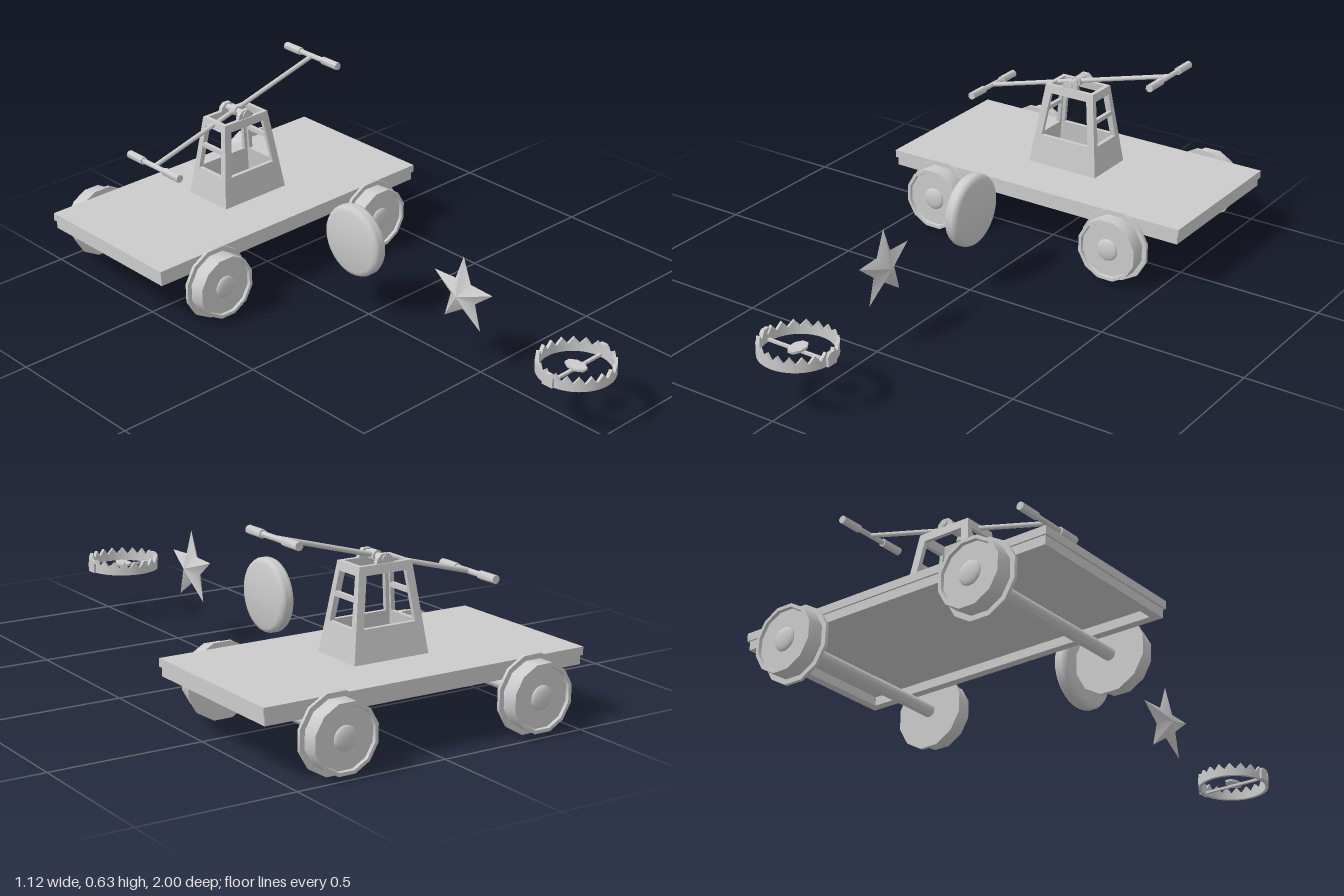
import * as THREE from 'three';
import { toCreasedNormals } from 'three/addons/utils/BufferGeometryUtils.js';

const mat = new THREE.MeshStandardMaterial({ color: 0xcccccc });
const CZ = -0.643; // cart centre in z

function add(parent, name, geo, x = 0, y = 0, z = 0) {
  const m = new THREE.Mesh(geo, mat);
  m.name = name;
  m.position.set(x, y, z);
  parent.add(m);
  return m;
}
const box = (w, h, d) => new THREE.BoxGeometry(w, h, d);
const rodZ = (r, len, sides = 12) => toCreasedNormals(new THREE.CylinderGeometry(r, r, len, sides).rotateX(Math.PI / 2), 0.9);
const lathe = (pts, sides, start = 0) => toCreasedNormals(
  new THREE.LatheGeometry(pts.map(p => new THREE.Vector2(p[0], p[1])), sides, start), 0.65);

// Leaning tower wall with a window; it faces +z and its outer base edge sits at z = depth
function towerWall(base, top, winBase, winTop, depth, topDepth) {
  const H = 0.28, t = 0.014;
  const s = new THREE.Shape([[-base, 0], [base, 0], [top, H], [-top, H]].map(p => new THREE.Vector2(...p)));
  s.holes.push(new THREE.Path([[-winBase, 0.1], [-winTop, 0.252], [winTop, 0.252], [winBase, 0.1]].map(p => new THREE.Vector2(...p))));
  const g = new THREE.ExtrudeGeometry(s, { depth: t, bevelEnabled: false });
  const p = g.attributes.position;
  for (let i = 0; i < p.count; i++) {
    p.setZ(i, p.getZ(i) - t + depth + (topDepth - depth) * p.getY(i) / H);
  }
  g.computeVertexNormals();
  return g;
}

function cart() {
  const g = new THREE.Group();
  g.name = 'handcar';
  g.position.set(-0.002, 0, CZ);

  // Deck on a hollow rail frame
  add(g, 'deck', box(1.125, 0.026, 0.567), 0, 0.214, 0);
  for (const s of [-1, 1]) {
    add(g, 'sideRail', box(1.112, 0.03, 0.028), 0, 0.187, s * 0.264);
    add(g, 'endRail', box(0.028, 0.03, 0.5), s * 0.542, 0.187, 0);
  }

  // Flanged twelve-sided wheels with recessed faces and domed hubs
  const R = 0.12 / Math.cos(Math.PI / 12);
  const wheelGeo = lathe([[0, 0], [R, 0], [R, 0.011], [0.108, 0.011], [0.108, 0.064], [0.097, 0.064],
    [0.095, 0.054], [0, 0.054]], 12, Math.PI / 12).rotateX(Math.PI / 2);
  const hubGeo = new THREE.SphereGeometry(0.038, 16, 10).scale(1, 1, 0.3);
  for (const x of [-0.353, 0.339]) {
    add(g, 'axle', rodZ(0.021, 0.6), x, 0.12, 0);
    for (const s of [-1, 1]) {
      const w = new THREE.Group();
      w.name = 'wheel';
      w.position.set(x, 0.12, s * 0.293);
      if (s < 0) w.rotation.y = Math.PI;
      add(w, 'wheelBody', wheelGeo);
      add(w, 'hub', hubGeo, 0, 0, 0.054);
      g.add(w);
    }
  }

  // Tapered open tower
  const tower = new THREE.Group();
  tower.name = 'tower';
  tower.position.y = 0.227;
  const wide = towerWall(0.132, 0.093, 0.092, 0.07, 0.093, 0.056);
  const narrow = towerWall(0.093, 0.056, 0.056, 0.04, 0.132, 0.093);
  for (let i = 0; i < 4; i++) {
    add(tower, i % 2 ? 'towerSide' : 'towerFace', i % 2 ? narrow : wide).rotation.y = i * Math.PI / 2;
  }
  for (const s of [-1, 1]) add(tower, 'sideCrossbar', box(0.013, 0.015, 0.11), s * 0.1, 0.183, 0);
  g.add(tower);

  // Pivot brackets and pin
  const arch = new THREE.Shape();
  arch.moveTo(-0.03, 0);
  arch.lineTo(0.03, 0);
  arch.lineTo(0.025, 0.016);
  arch.lineTo(0.012, 0.028);
  arch.lineTo(-0.012, 0.028);
  arch.lineTo(-0.025, 0.016);
  const archGeo = new THREE.ExtrudeGeometry(arch, { depth: 0.015, bevelEnabled: false });
  for (const z of [-0.052, 0.037]) add(g, 'pivotBracket', archGeo, 0, 0.507, z);
  add(g, 'pivotPin', rodZ(0.011, 0.114), 0, 0.521, 0);
  add(g, 'leverHub', rodZ(0.017, 0.03), 0, 0.521, 0);

  // Rocking lever with a grip bar at each end
  const lever = new THREE.Group();
  lever.name = 'lever';
  lever.position.y = 0.521;
  lever.rotation.z = Math.atan2(0.187, 0.697);
  add(lever, 'leverRod', new THREE.CylinderGeometry(0.008, 0.008, 0.722, 8).rotateZ(Math.PI / 2));
  for (const s of [-1, 1]) {
    add(lever, 'handleBar', rodZ(0.009, 0.2, 8), s * 0.361, 0, 0);
    for (const e of [-1, 1]) add(lever, 'grip', rodZ(0.0135, 0.075, 8), s * 0.361, 0, e * 0.0925);
  }
  g.add(lever);
  return g;
}

// Five-pointed star, puffed to a peak on both faces
function starGeometry() {
  const pos = [];
  const pt = i => {
    const r = i % 2 ? 0.054 : 0.129, a = i * Math.PI / 5;
    return [0, Math.cos(a) * r, Math.sin(a) * r];
  };
  for (let i = 0; i < 10; i++) {
    const a = pt(i), b = pt(i + 1);
    pos.push(0.032, 0, 0, ...a, ...b, -0.032, 0, 0, ...b, ...a);
  }
  const g = new THREE.BufferGeometry();
  g.setAttribute('position', new THREE.Float32BufferAttribute(pos, 3));
  return toCreasedNormals(g, 0.95);
}

// Ring with a zigzag top edge, swept from a four-cornered section
function toothedRing(teeth, rIn, rOut, low, high) {
  const pos = [], n = teeth * 4;
  const section = i => {
    const a = i / n * Math.PI * 2, h = low + (high - low) * [0, 0.5, 1, 0.5][i % 4];
    return [[rOut, 0], [rOut, h], [rIn, h], [rIn, 0]].map(([r, y]) => [Math.sin(a) * r, y, Math.cos(a) * r]);
  };
  for (let i = 0; i < n; i++) {
    const a = section(i), b = section(i + 1);
    for (let k = 0; k < 4; k++) {
      const m = (k + 1) % 4;
      pos.push(...a[k], ...b[k], ...b[m], ...a[k], ...b[m], ...a[m]);
    }
  }
  const g = new THREE.BufferGeometry();
  g.setAttribute('position', new THREE.Float32BufferAttribute(pos, 3));
  g.computeVertexNormals();
  return g;
}

function trap() {
  const g = new THREE.Group();
  g.name = 'jawTrap';
  g.position.set(0.003, 0.172, 0.877);
  add(g, 'toothedJaws', toothedRing(20, 0.111, 0.122, 0.024, 0.046));
  add(g, 'crossBar', box(0.236, 0.008, 0.01), 0, 0.008, 0);
  // Trigger plate
  add(g, 'triggerPlate', new THREE.CylinderGeometry(1, 1, 0.008, 8, 1, false, Math.PI / 8).scale(0.025, 1, 0.039), 0, 0.016, 0);
  // Hinge tabs
  const tab = new THREE.Shape([[-0.02, 0], [0.02, 0], [0.02, 0.032], [0.011, 0.042], [-0.011, 0.042], [-0.02, 0.032]]
    .map(p => new THREE.Vector2(...p)));
  const tabGeo = new THREE.ExtrudeGeometry(tab, { depth: 0.012, bevelEnabled: false }).rotateY(Math.PI / 2);
  for (const x of [-0.128, 0.116]) add(g, 'hingeTab', tabGeo, x, 0, 0);
  return g;
}

export function createModel() {
  const model = new THREE.Group();
  model.name = 'handcarSet';
  model.add(cart());

  // Rounded disc standing on edge
  const disc = new THREE.LatheGeometry([[0, -0.024], [0.105, -0.024], [0.117, -0.019], [0.122, -0.009],
    [0.122, 0.009], [0.117, 0.019], [0.105, 0.024], [0, 0.024]].map(p => new THREE.Vector2(...p)), 32);
  add(model, 'disc', toCreasedNormals(disc.rotateZ(Math.PI / 2), 0.8), -0.023, 0.267, -0.038);

  add(model, 'star', starGeometry(), -0.018, 0.259, 0.434);
  model.add(trap());
  return model;
}
